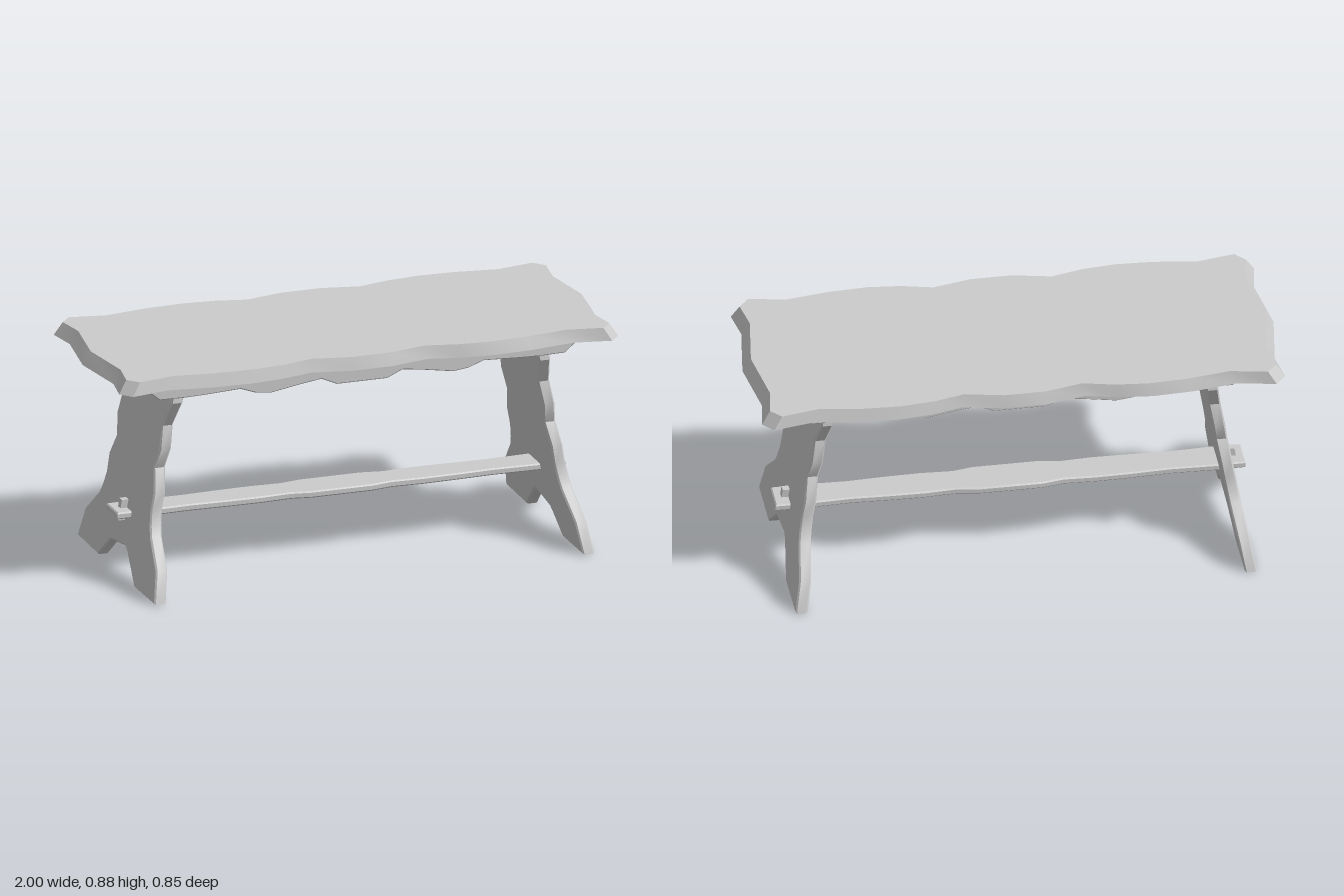
import * as THREE from 'three';
import { toCreasedNormals } from 'three/addons/utils/BufferGeometryUtils.js';

const material = new THREE.MeshStandardMaterial({ color: 0xcccccc });

// Board cut from an outline, with slightly eased edges, centred on its thickness.
function board(points, thickness, ease) {
  const shape = new THREE.Shape(points.map(([x, y]) => new THREE.Vector2(x, y)));
  return new THREE.ExtrudeGeometry(shape, {
    depth: thickness - 2 * ease, bevelEnabled: ease > 0, bevelSegments: 1,
    bevelSize: ease, bevelThickness: ease, bevelOffset: -ease,
  }).translate(0, 0, ease - thickness / 2);
}

// Moves every vertex by a rule.
function deform(geometry, rule) {
  const p = geometry.attributes.position;
  const v = new THREE.Vector3();
  for (let i = 0; i < p.count; i++) {
    rule(v.fromBufferAttribute(p, i));
    p.setXYZ(i, v.x, v.y, v.z);
  }
  return geometry;
}

function part(name, geometry) {
  const mesh = new THREE.Mesh(toCreasedNormals(geometry, 0.6), material);
  mesh.name = name;
  return mesh;
}

// Adds the x-mirrored half of an open outline.
const mirrorX = (half) => [...half, ...half.map(([x, y]) => [-x, y]).reverse()];

export function createModel() {
  const model = new THREE.Group();
  model.name = 'trestleTable';

  // Table top: wavy slab, narrower at its upper face
  const quarter = [
    [0.965, 0.24], [0.985, 0.36], [0.945, 0.405], [0.80, 0.378], [0.63, 0.403],
    [0.48, 0.41], [0.35, 0.397], [0.23, 0.368], [0.08, 0.4],
  ];
  const side = mirrorX(quarter);
  const outline = [[1, 0], ...side, [-1, 0], ...side.map(([x, y]) => [-x, -y])];
  const top = board(outline, 0.05, 0).rotateX(-Math.PI / 2).translate(0, 0.85, 0);
  deform(top, (v) => {
    if (v.y > 0.85) {
      v.x *= 0.968;
      v.z *= 0.968;
    }
  });
  model.add(part('tableTop', top));

  // Scalloped aprons under the top
  const apron = mirrorX([
    [0.85, 0.827], [0.85, 0.798], [0.80, 0.757], [0.70, 0.755], [0.62, 0.757], [0.48, 0.764],
    [0.42, 0.742], [0.36, 0.735], [0.24, 0.755], [0.16, 0.766], [0.10, 0.739],
  ].reverse());
  for (const s of [1, -1]) {
    const mesh = part(s > 0 ? 'frontApron' : 'backApron', board(apron, 0.028, 0.004));
    mesh.position.z = s * 0.276;
    model.add(mesh);
  }

  // Each end: leaning leg board and the peg that locks the stretcher
  const edge = [
    [0.2, 0], [0.425, 0.003], [0.39, 0.122], [0.282, 0.22], [0.262, 0.255], [0.244, 0.31],
    [0.248, 0.38], [0.205, 0.462], [0.235, 0.54], [0.215, 0.628], [0.275, 0.732], [0.262, 0.83],
  ];
  const arch = [[-0.12, 0.075], [-0.1, 0.09], [0.05, 0.113], [0.08, 0.097]];
  const legOutline = [...mirrorX(edge), ...arch];
  for (const s of [1, -1]) {
    const end = new THREE.Group();
    end.name = s > 0 ? 'leftEnd' : 'rightEnd';
    const leg = board(legOutline, 0.046, 0.006).rotateY(Math.PI / 2);
    deform(leg, (v) => { v.x += 0.847 - 0.166 * v.y; });
    end.add(part('leg', leg));

    const peg = new THREE.BoxGeometry(0.026, 0.08, 0.028);
    deform(peg, (v) => {
      if (v.y < 0) v.z *= 0.85;
      v.x += 0.844 - 0.166 * v.y;
      v.y += 0.241;
    });
    end.add(part('peg', peg));
    end.rotation.y = s > 0 ? 0 : Math.PI;
    model.add(end);
  }

  // Stretcher: flat wavy plank passing through both legs
  const plank = mirrorX([
    [0.885, 0.062], [0.78, 0.064], [0.6, 0.058], [0.45, 0.064], [0.32, 0.066], [0.2, 0.06], [0.12, 0.074],
  ]);
  const stretcher = board([...plank, ...plank.map(([x, y]) => [-x, -y])], 0.026, 0.005);
  stretcher.rotateX(-Math.PI / 2).translate(0, 0.236, 0);
  model.add(part('stretcher', stretcher));

  return model;
}
